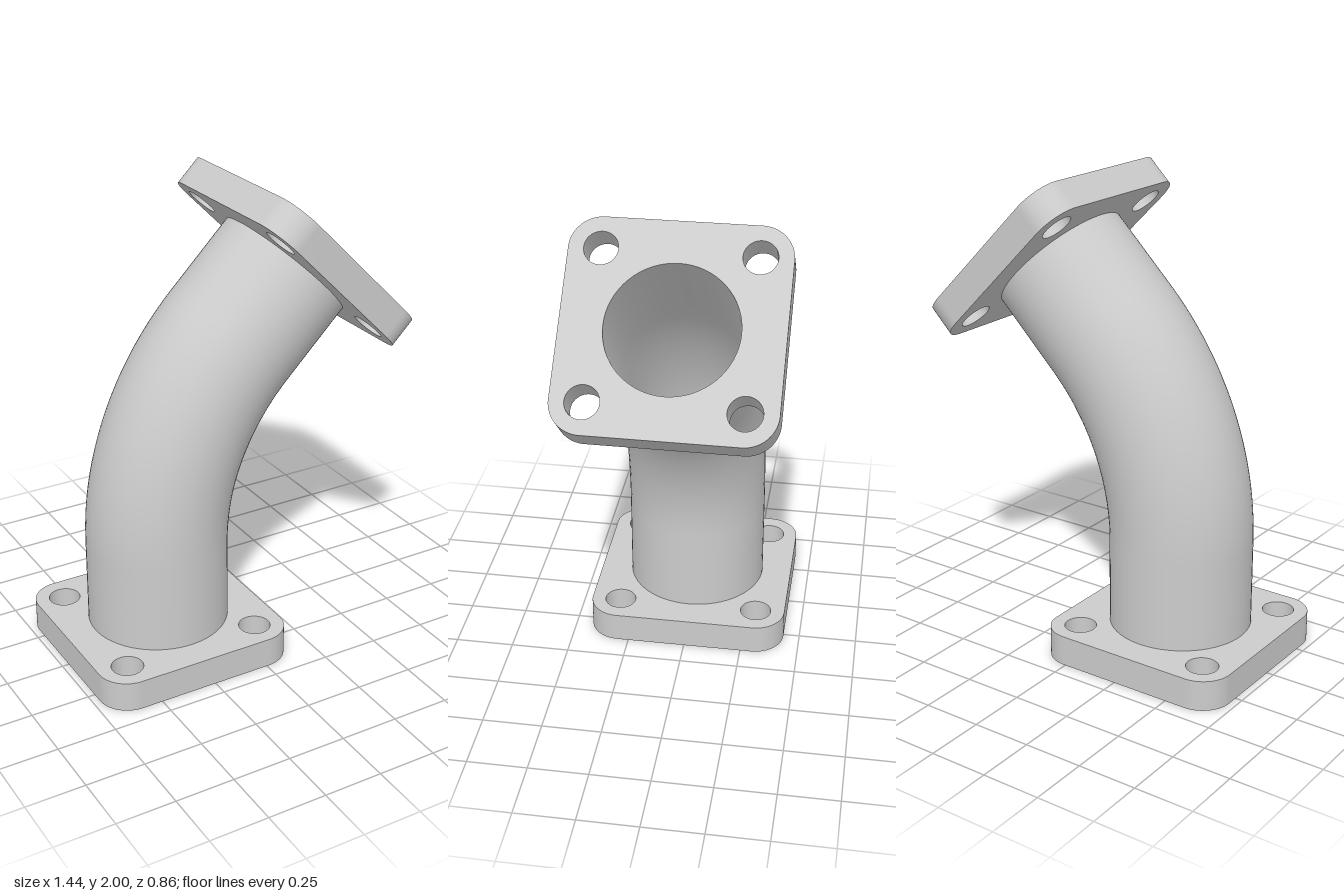
import * as THREE from 'three';
import { toCreasedNormals } from 'three/addons/utils/BufferGeometryUtils.js';

const BASE_X = -0.29;       // axis of the lower flange
const HALF = 0.43;          // half width of a flange
const THICK = 0.13;         // flange thickness
const CORNER = 0.13;        // flange corner radius
const BOLT = 0.303;         // bolt hole offset
const BOLT_R = 0.067;
const OUTER_R = 0.3;
const BORE_R = 0.26;
const LEG = 0.498;          // straight run at either end, flange included
const BEND_R = 1.2;
const BEND = Math.PI / 4;

// Centre line: straight leg, 45 degree arc, straight leg
class ElbowCurve extends THREE.Curve {
  getPoint(t, target = new THREE.Vector3()) {
    const arc = BEND_R * BEND;
    const s = THICK + t * (2 * (LEG - THICK) + arc);
    const a = THREE.MathUtils.clamp((s - LEG) / BEND_R, 0, BEND);
    const before = Math.min(s, LEG);
    const after = Math.max(s - LEG - arc, 0);
    return target.set(
      BASE_X + BEND_R * (1 - Math.cos(a)) + after * Math.sin(BEND),
      before + BEND_R * Math.sin(a) + after * Math.cos(BEND),
      0
    );
  }
}

// Square plate with rounded corners, a bore and four bolt holes, lying on y = 0
function flangeGeometry() {
  const shape = new THREE.Shape();
  const c = HALF - CORNER;
  [[c, c], [-c, c], [-c, -c], [c, -c]].forEach(([x, y], i) =>
    shape.absarc(x, y, CORNER, i * Math.PI / 2, (i + 1) * Math.PI / 2, false));
  shape.closePath();

  const addHole = (x, y, r) => {
    const hole = new THREE.Path();
    hole.absarc(x, y, r, 0, Math.PI * 2, true);
    shape.holes.push(hole);
  };
  addHole(0, 0, BORE_R);
  for (const x of [-BOLT, BOLT]) for (const y of [-BOLT, BOLT]) addHole(x, y, BOLT_R);

  const geometry = new THREE.ExtrudeGeometry(shape, { depth: THICK, bevelEnabled: false, curveSegments: 32 });
  geometry.rotateX(-Math.PI / 2);
  return toCreasedNormals(geometry, 0.6);
}

// Turns a surface inside out
function invert(geometry) {
  geometry.index.array.reverse();
  const normals = geometry.attributes.normal.array;
  for (let i = 0; i < normals.length; i++) normals[i] *= -1;
  return geometry;
}

export function createModel() {
  const group = new THREE.Group();
  group.name = 'flangedPipeElbow';
  const material = new THREE.MeshStandardMaterial({ color: 0xcccccc });
  const add = (name, geometry) => {
    const mesh = new THREE.Mesh(geometry, material);
    mesh.name = name;
    group.add(mesh);
    return mesh;
  };

  // Pipe wall and bore
  const path = new ElbowCurve();
  add('pipeOuterWall', new THREE.TubeGeometry(path, 80, OUTER_R, 64));
  add('pipeBore', invert(new THREE.TubeGeometry(path, 80, BORE_R, 64)));

  // Flanges at both ends
  const flange = flangeGeometry();
  add('lowerFlange', flange).position.x = BASE_X;
  const upper = add('upperFlange', flange);
  upper.position.copy(path.getPoint(1));
  upper.rotation.z = -BEND;

  return group;
}
